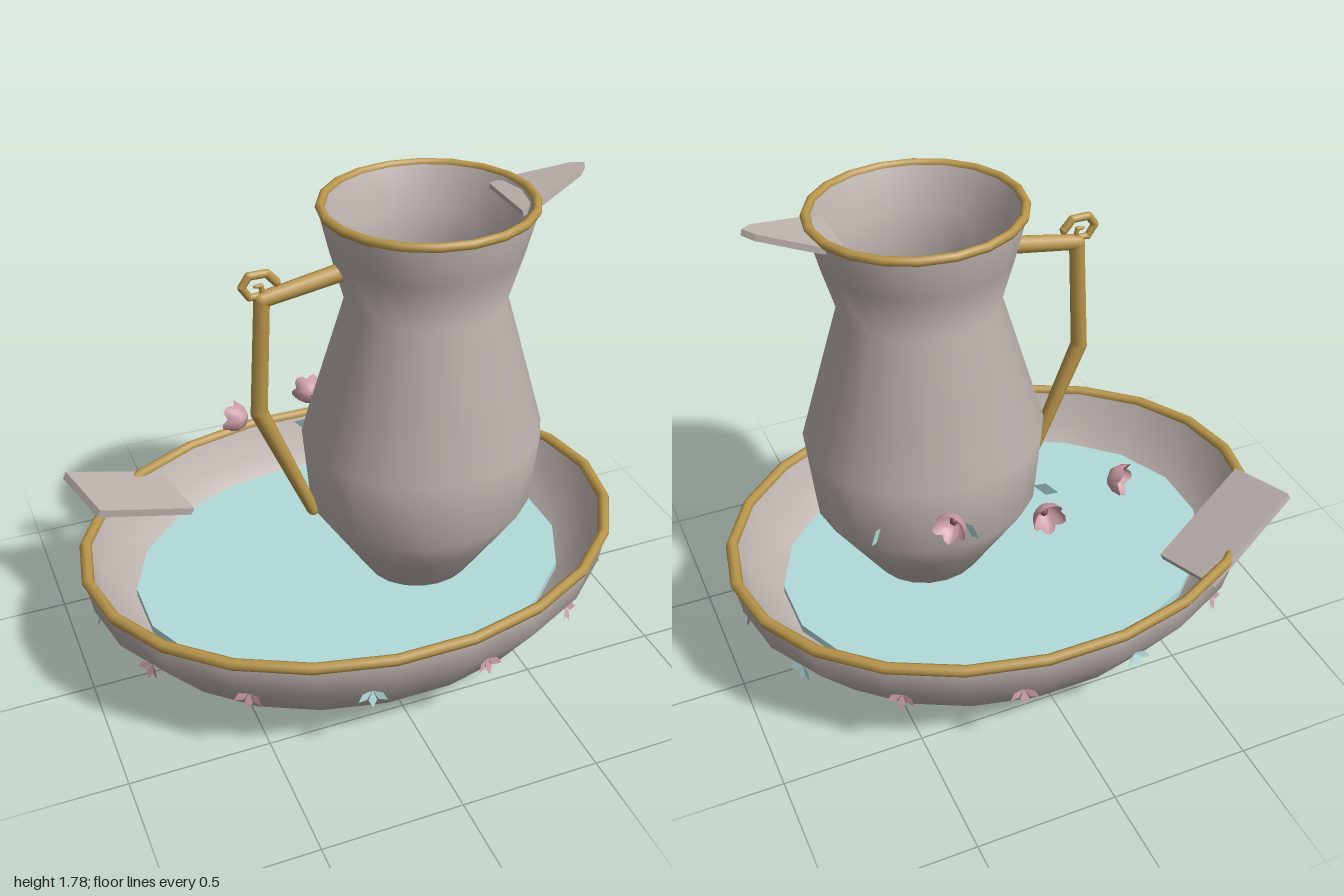
import * as THREE from 'three';

const mat = (name, color, side = THREE.FrontSide) => {
  const m = new THREE.MeshStandardMaterial({ color, side });
  m.name = name;
  return m;
};
const v2 = (pts) => pts.map(([x, y]) => new THREE.Vector2(x, y));

export function createModel() {
  const porcelain = mat('porcelain', 0xbdb2ae);
  const gold = mat('gold', 0xb8954a);
  const aqua = mat('aqua', 0xb2dada, THREE.DoubleSide);
  const pink = mat('pink', 0xcb9ca5, THREE.DoubleSide);
  const plum = mat('plum', 0x7a4852, THREE.DoubleSide);

  const root = new THREE.Group();
  root.name = 'pitcherAndBasin';
  const group = (name, parent = root) => {
    const g = new THREE.Group();
    g.name = name;
    parent.add(g);
    return g;
  };
  const add = (parent, name, geometry, material) => {
    const m = new THREE.Mesh(geometry, material);
    m.name = name;
    parent.add(m);
    return m;
  };
  const ring = (r, tube, segs) => new THREE.TorusGeometry(r, tube, 8, segs).rotateX(Math.PI / 2);

  // Oval basin: thin-walled shell, flat foot, gold rim and water
  const basin = group('basin');
  const oval = 0.78;
  const bowl = v2([
    [0.45, 0], [0.81, 0.165], [0.965, 0.35], [0.985, 0.47],
    [0.95, 0.47], [0.925, 0.35], [0.78, 0.195], [0.44, 0.03], [0, 0.03],
  ]);
  add(basin, 'bowl', new THREE.LatheGeometry(bowl, 22, Math.PI / 2).scale(1, 1, oval), porcelain);
  add(basin, 'foot', new THREE.CircleGeometry(0.45, 22).rotateX(Math.PI / 2).scale(1, 1, oval), porcelain);
  add(basin, 'basinRim', ring(0.974, 0.022, 22).scale(1, 1, oval), gold).position.y = 0.474;
  add(basin, 'water', new THREE.CylinderGeometry(0.8, 0.8, 0.03, 18).scale(1, 1, oval + 0.01), aqua).position.y = 0.295;

  // Three-leaf sprigs around the basin, every third one aqua
  const leaflet = (angle, length, width) => new THREE.ShapeGeometry(new THREE.Shape(v2([
    [0, 0], [width, -length * 0.55], [0, -length], [-width, -length * 0.55],
  ]))).rotateX(-0.35).rotateZ(angle);
  for (let i = 0; i < 14; i++) {
    const a = (i / 14) * Math.PI * 2;
    const sprig = group('sprig', basin);
    sprig.position.set(Math.cos(a) * 0.94, 0.333, Math.sin(a) * 0.94 * oval);
    sprig.rotation.y = Math.atan2(Math.cos(a), Math.sin(a));
    for (const t of [-1, 0, 1]) {
      add(sprig, 'sprigLeaf', leaflet(t * 1.05, 0.06, 0.015), i % 3 === 1 ? aqua : pink);
    }
  }

  // Soap slab leaning over the basin rim
  const soap = add(root, 'soap', new THREE.BoxGeometry(0.44, 0.03, 0.25), porcelain);
  soap.position.set(-0.715, 0.5, -0.43);
  soap.rotation.set(0, 0.31, -0.45, 'ZYX');

  // Pitcher: body with hollow inside and gold rim
  const pitcher = group('pitcher');
  pitcher.position.set(0.235, 0, 0.085);
  const body = v2([
    [0, 0.27], [0.17, 0.27], [0.315, 0.49], [0.4, 0.62], [0.425, 0.89], [0.275, 1.4],
    [0.325, 1.58], [0.362, 1.73], [0.335, 1.73], [0.295, 1.58], [0.25, 1.4],
    [0.39, 0.89], [0.36, 0.62], [0.15, 0.34], [0, 0.34],
  ]);
  add(pitcher, 'pitcherBody', new THREE.LatheGeometry(body, 20).scale(1, 1, 0.92), porcelain);
  add(pitcher, 'pitcherRim', ring(0.352, 0.016, 20).scale(1, 1, 0.935), gold).position.y = 1.73;

  // Pouring lip: tapering plate tilted upward
  const lip = new THREE.ExtrudeGeometry(new THREE.Shape(v2([
    [0, -0.12], [0.08, -0.105], [0.26, -0.035], [0.295, 0], [0.26, 0.035], [0.08, 0.105], [0, 0.12],
  ])), { depth: 0.022, bevelEnabled: false }).rotateX(-Math.PI / 2);
  const spout = add(pitcher, 'spout', lip, porcelain);
  spout.position.set(0.28, 1.685, 0);
  spout.rotation.z = 0.26;

  // Angular gold handle and its curled finial, as rods joined by knuckles
  const rods = (name, pts, radii) => {
    const g = group(name);
    g.position.z = 0.08;
    pts.forEach(([x, y], i) => {
      add(g, name + 'Joint', new THREE.SphereGeometry(radii[i], 10, 8), gold).position.set(x, y, 0);
      if (!i) return;
      const [px, py] = pts[i - 1];
      const len = Math.hypot(x - px, y - py);
      const rod = add(g, name + 'Rod', new THREE.CylinderGeometry(radii[i], radii[i - 1], len, 8), gold);
      rod.position.set((x + px) / 2, (y + py) / 2, 0);
      rod.rotation.z = Math.atan2(y - py, x - px) - Math.PI / 2;
    });
  };
  rods('handle', [[-0.05, 1.54], [-0.335, 1.49], [-0.358, 1.075], [-0.175, 0.63]], [0.032, 0.028, 0.03, 0.022]);
  rods('handleCurl', [
    [-0.285, 1.545], [-0.315, 1.58], [-0.375, 1.58], [-0.4, 1.545],
    [-0.375, 1.505], [-0.33, 1.507], [-0.335, 1.54], [-0.355, 1.54],
  ], [0.015, 0.014, 0.014, 0.013, 0.012, 0.01, 0.008, 0.006]);

  // Five-petal cup blossoms behind the pitcher
  const cup = new THREE.LatheGeometry(v2([[0.004, 0], [0.03, 0.008], [0.05, 0.032], [0.06, 0.066]]), 20);
  const p = cup.attributes.position;
  for (let i = 0; i < p.count; i++) {
    const x = p.getX(i), y = p.getY(i), z = p.getZ(i);
    const lobe = Math.abs(Math.cos(2.5 * Math.atan2(x, z)));
    const k = 1 - 0.22 * (1 - lobe) * (y / 0.066);
    p.setXYZ(i, x * k, y * (0.75 + 0.25 * lobe), z * k);
  }
  cup.rotateX(Math.PI / 2);
  cup.computeVertexNormals();
  for (const [x, z, yaw] of [[0, -0.39, 0], [0.285, -0.318, -0.73], [-0.285, -0.318, 0.73]]) {
    const flower = group('flower');
    flower.position.set(x, 0.788, z);
    flower.rotation.y = Math.PI + yaw;
    add(flower, 'petals', cup, pink);
    add(flower, 'flowerHeart', new THREE.SphereGeometry(0.014, 8, 6), plum).position.z = 0.014;
  }

  // Upright diamond leaves radiating from the pitcher's back
  const diamond = new THREE.ShapeGeometry(new THREE.Shape(v2([
    [-0.047, 0], [0, -0.025], [0.047, 0], [0, 0.025],
  ])));
  for (const [x, z, yaw] of [[-0.075, -0.26, 2.3], [0.243, -0.363, 1.73], [0.545, -0.265, 0.9]]) {
    const leaf = add(root, 'leaf', diamond, aqua);
    leaf.position.set(x, 0.755, z);
    leaf.rotation.y = yaw;
  }

  return root;
}
